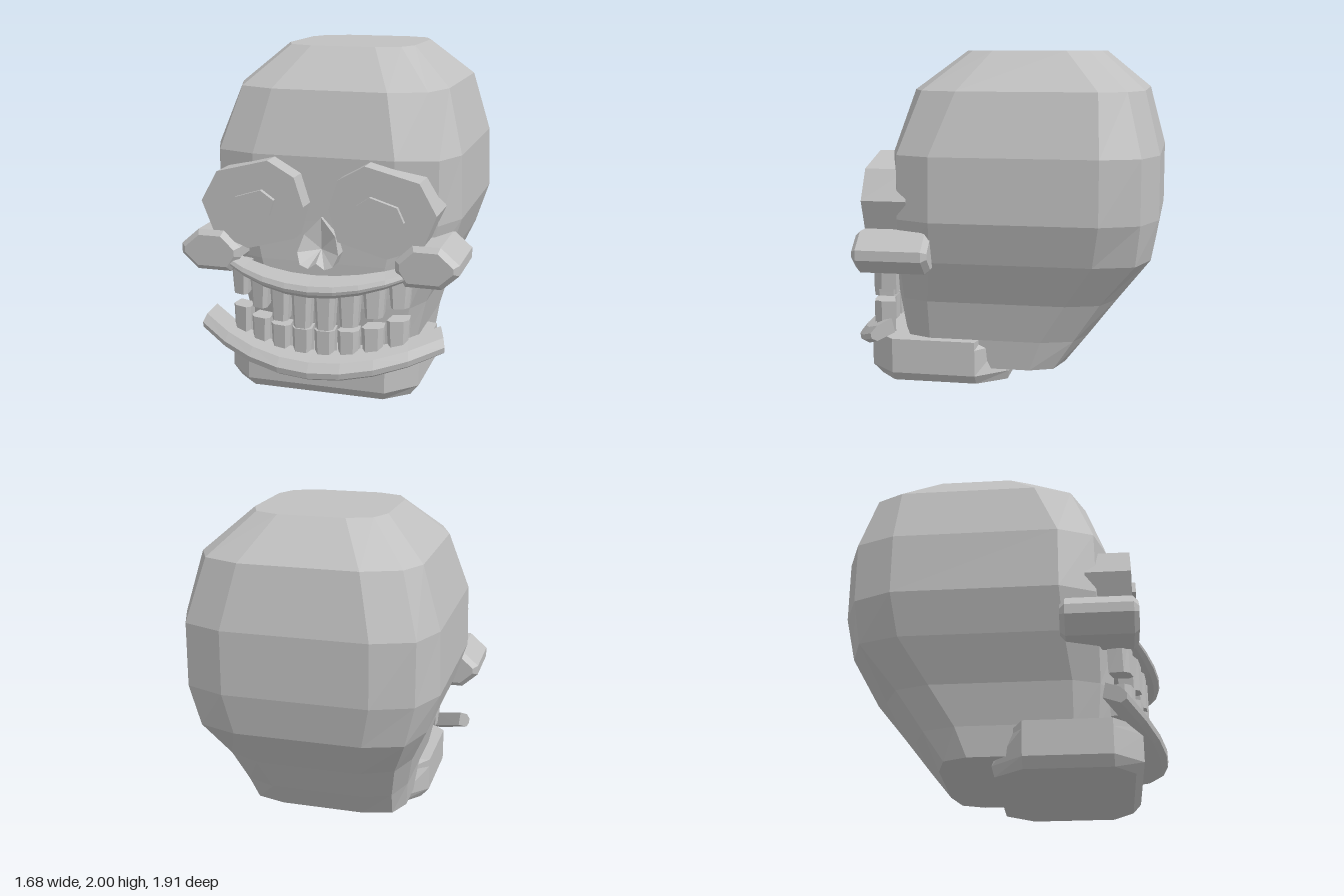
import * as THREE from 'three';

const bone = new THREE.MeshStandardMaterial({ color: 0xc0c0c0 });
bone.name = 'bone grey';

// Faceted solid through closed rings of [x, y, z] points, with fan caps at both ends
function loft(rings, endCentre) {
  const tris = [];
  const n = rings[0].length;
  const middle = (r) => [0, 1, 2].map((k) => r.reduce((s, p) => s + p[k], 0) / n);
  for (let i = 0; i < rings.length - 1; i++) {
    for (let j = 0; j < n; j++) {
      const k = (j + 1) % n;
      const [a, b, c, d] = [rings[i][j], rings[i][k], rings[i + 1][k], rings[i + 1][j]];
      tris.push([a, b, c], [a, c, d]);
    }
  }
  const first = rings[0], last = rings[rings.length - 1];
  const c0 = middle(first), c1 = endCentre || middle(last);
  for (let j = 0; j < n; j++) {
    const k = (j + 1) % n;
    tris.push([c0, first[k], first[j]], [c1, last[j], last[k]]);
  }
  // Turn the faces outward if the rings were given the other way round
  const v = (p) => new THREE.Vector3(...p);
  const volume = tris.reduce((s, [a, b, c]) => s + v(a).dot(v(b).cross(v(c))), 0);
  if (volume < 0) tris.forEach((t) => t.reverse());
  const geo = new THREE.BufferGeometry();
  geo.setAttribute('position', new THREE.Float32BufferAttribute(tris.flat(2), 3));
  geo.computeVertexNormals();
  return geo;
}

// Mirrored ring from points on the +x half, ordered front to back
function mirrorRing(half, y) {
  return [
    ...half.map(([x, z]) => [x, y, z]),
    ...half.slice().reverse().map(([x, z]) => [-x, y, z]),
  ];
}

// Flat outline extruded between two depths
function plate(points, z0, z1, bevel = 0) {
  const shape = new THREE.Shape(points.map(([x, y]) => new THREE.Vector2(x, y)));
  const geo = new THREE.ExtrudeGeometry(shape, {
    depth: z1 - z0 - 2 * bevel, bevelEnabled: bevel > 0,
    bevelThickness: bevel, bevelSize: bevel, bevelOffset: -bevel, bevelSegments: 1,
  });
  return geo.translate(0, 0, z0 + bevel);
}

export function createModel() {
  const group = new THREE.Group();
  const add = (name, geo) => {
    const mesh = new THREE.Mesh(geo, bone);
    mesh.name = name;
    group.add(mesh);
  };

  // Cranium: y, then x of side, corner, front flat, then z of front, front corner,
  // front side, back side, back corner, back
  const levels = [
    [0.09, 0.50, 0.44, 0.26, 0.60, 0.53, 0.40, -0.20, -0.34, -0.39],
    [0.27, 0.52, 0.46, 0.28, 0.62, 0.55, 0.41, -0.27, -0.46, -0.53],
    [0.51, 0.575, 0.51, 0.32, 0.65, 0.57, 0.41, -0.42, -0.62, -0.71],
    [0.77, 0.69, 0.61, 0.38, 0.65, 0.57, 0.37, -0.59, -0.83, -0.91],
    [1.02, 0.77, 0.67, 0.43, 0.645, 0.565, 0.35, -0.63, -0.86, -0.955],
    [1.40, 0.76, 0.67, 0.43, 0.64, 0.56, 0.35, -0.63, -0.86, -0.955],
    [1.77, 0.65, 0.57, 0.35, 0.52, 0.43, 0.21, -0.61, -0.77, -0.86],
    [2.00, 0.40, 0.345, 0.20, 0.23, 0.17, 0.04, -0.40, -0.53, -0.59],
  ];
  add('cranium', loft(levels.map(([y, s, c, f, zf, zfc, zfs, zbs, zbc, zb]) =>
    mirrorRing([[f, zf], [c, zfc], [s, zfs], [s, zbs], [c, zbc], [f, zb]], y))));

  // Jaw block: y, side x, flat x, front z, back z
  const jaw = [
    [0.00, 0.535, 0.40, 0.75, -0.05],
    [0.06, 0.585, 0.42, 0.80, -0.065],
    [0.22, 0.585, 0.42, 0.80, -0.01],
    [0.27, 0.585, 0.42, 0.795, 0.09],
  ];
  add('jaw', loft(jaw.map(([y, s, f, zf, zb]) =>
    mirrorRing([[f, zf], [s, 0.63], [s, 0.12], [f, zb]], y))));

  // Eye rims, pupils and cheekbones, the rims and cheeks mirrored
  const rim = [[0.29, 1.39], [0.605, 1.31], [0.705, 1.13], [0.63, 0.94],
    [0.42, 0.86], [0.13, 0.94], [0.075, 1.13], [0.13, 1.30]];
  const pupil = [[0.325, 1.22], [0.485, 1.17], [0.525, 1.085], [0.39, 1.015],
    [0.275, 1.07], [0.245, 1.165]];
  const cheek = [[0.57, 0.955], [0.73, 0.955], [0.84, 0.86], [0.84, 0.80],
    [0.74, 0.71], [0.53, 0.71], [0.47, 0.80], [0.47, 0.86]];
  for (const [side, s] of [['left', 1], ['right', -1]]) {
    const flip = (pts) => pts.map(([x, y]) => [s * x, y]);
    add(side + 'EyeRim', plate(flip(rim), 0.5, 0.77));
    const eye = s > 0 ? pupil : flip(pupil);
    add(side + 'Pupil', plate(eye, 0.76, 0.80));
    add(side + 'Cheekbone', plate(flip(cheek), 0.35, 0.80, 0.03).toNonIndexed
      ? plate(flip(cheek), 0.35, 0.80, 0.03) : null);
  }

  // Nose: raised rim around a hollow
  const noseHalf = [[0, 1.05, 0.67], [0.095, 0.95, 0.70], [0.125, 0.85, 0.74],
    [0.10, 0.785, 0.77], [0.05, 0.765, 0.77]];
  const nose = [...noseHalf, [0, 0.80, 0.77],
    ...noseHalf.slice(1).reverse().map(([x, y, z]) => [-x, y, z])];
  add('nose', loft([nose.map(([x, y]) => [x, y, 0.55]), nose], [0, 0.86, 0.665]));

  // Lips: a six-sided section swept along a curve that rises and recedes to the sides
  const recede = (x) => 0.25 * (x / 0.74) ** 2;
  function lip(section, halfWidth, rise, taper) {
    const cy = section.reduce((t, p) => t + p[0], 0) / 6;
    const cz = section.reduce((t, p) => t + p[1], 0) / 6;
    const rings = [];
    for (let i = -4; i <= 4; i++) {
      const t = i / 4, size = 1 - taper * t * t;
      rings.push(section.map(([y, z]) => {
        const dz = (z - cz) * size;
        // Slant each ring so it stays square to the curve
        const x = halfWidth * t + dz * 0.4 * t;
        return [x, cy + (y - cy) * size + rise * t * t, cz + dz - recede(halfWidth * t)];
      }));
    }
    return loft(rings);
  }
  add('upperLip', lip([[0.75, 0.83], [0.71, 0.92], [0.68, 0.935], [0.66, 0.93],
    [0.635, 0.90], [0.67, 0.81]], 0.56, 0.095, 0.4));
  add('lowerLip', lip([[0.295, 0.83], [0.25, 0.92], [0.20, 0.96], [0.165, 0.955],
    [0.145, 0.92], [0.20, 0.81]], 0.73, 0.145, 0.1));

  // Teeth: hexagonal pegs following the lips
  function tooth(x, y0, y1, w0, w1) {
    const corners = [[-0.5, 0.5], [-0.3, 1], [0.3, 1], [0.5, 0.5], [0.4, -1], [-0.4, -1]];
    const z = 0.80 - recede(x);
    return loft([[y0, w0], [y1, w1]].map(([y, w]) =>
      corners.map(([u, v]) => [x + u * w, y, z + v * 0.06 - u * w * x * 0.7])));
  }
  const upperBottoms = [0.43, 0.455, 0.51, 0.565];
  const lowerTops = [0.425, 0.43, 0.45, 0.49];
  for (const s of [1, -1]) {
    for (let i = 0; i < 4; i++) {
      const x = s * (0.07 + 0.14 * i);
      const lift = 0.095 * (x / 0.56) ** 2;
      add('upperTooth', tooth(x, upperBottoms[i], 0.69 + lift, 0.10, 0.135));
      add('lowerTooth', tooth(x * 0.98, 0.23 + lift, lowerTops[i], 0.11, 0.125));
    }
  }
  return group;
}
